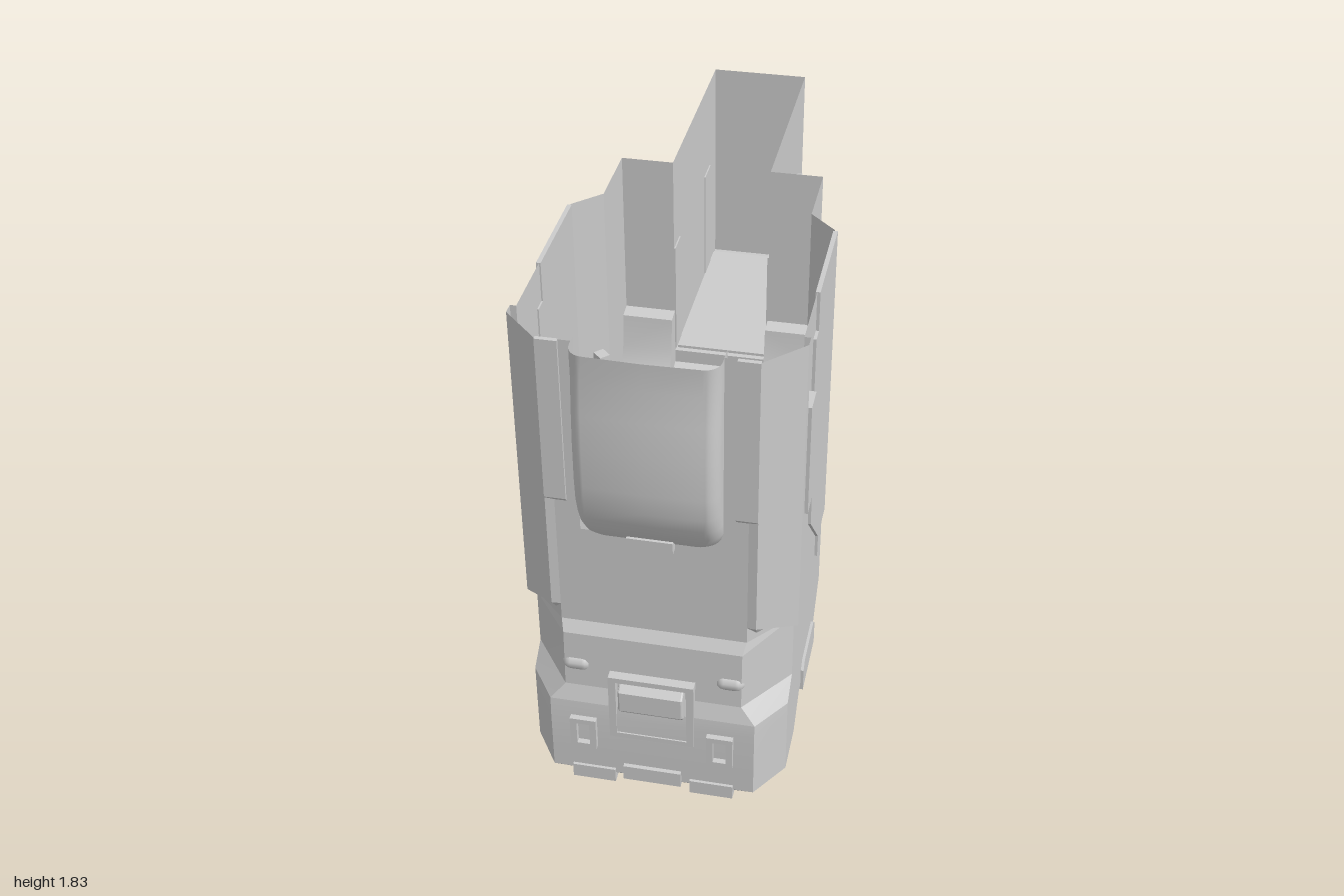
import * as THREE from 'three';
import { toCreasedNormals } from 'three/addons/utils/BufferGeometryUtils.js';

export function createModel() {
  const model = new THREE.Group();
  const mat = new THREE.MeshStandardMaterial({ color: 0xcccccc, side: THREE.DoubleSide });
  const add = (name, geo) => {
    const m = new THREE.Mesh(geo, mat);
    m.name = name;
    model.add(m);
    return m;
  };
  // Skin between successive rows of [x, y, z] points; edges over the crease angle stay sharp.
  const loft = (rows, closed = false, crease = 0.3) => {
    const n = rows[0].length, idx = [];
    for (let r = 0; r < rows.length - 1; r++)
      for (let i = 0; i < (closed ? n : n - 1); i++) {
        const a = r * n + i, b = r * n + (i + 1) % n;
        idx.push(a, b, a + n, b, b + n, a + n);
      }
    const g = new THREE.BufferGeometry();
    g.setAttribute('position', new THREE.Float32BufferAttribute(rows.flat(2), 3));
    g.setIndex(idx);
    return toCreasedNormals(g, crease);
  };
  const shapeOf = pts => new THREE.Shape(pts.map(p => new THREE.Vector2(...p)));
  const rectPts = (x0, y0, x1, y1) => [[x0, y0], [x1, y0], [x1, y1], [x0, y1]];
  // Plate with a [z, y] outline spanning x0..x1.
  const sidePlate = (name, pts, x0, x1, bevel = 0) => {
    const g = new THREE.ExtrudeGeometry(shapeOf(pts.map(([z, y]) => [-z, y])), {
      depth: x1 - x0 - 2 * bevel, bevelEnabled: bevel > 0, bevelSize: bevel,
      bevelThickness: bevel, bevelOffset: -bevel, bevelSegments: 2 });
    return add(name, g.rotateY(Math.PI / 2).translate(x0 + bevel, 0, 0));
  };
  const box = (name, x0, x1, y0, y1, z0, z1) => add(name, new THREE.BoxGeometry(x1 - x0, y1 - y0, z1 - z0)
    .translate((x0 + x1) / 2, (y0 + y1) / 2, (z0 + z1) / 2));
  const boxes = (name, x0, x1, ...r) => {
    box(name + 'Left', x0, x1, ...r);
    box(name + 'Right', -x1, -x0, ...r);
  };
  const plates = (name, pts, x0, x1, bevel) => {
    sidePlate(name + 'Left', pts, x0, x1, bevel);
    sidePlate(name + 'Right', pts, -x1, -x0, bevel);
  };
  // Closed symmetric ring at height y from half outline [x, z], listed back to front.
  const ring = (y, half) => [...half.map(([x, z]) => [x, y, z]), ...half.map(([x, z]) => [-x, y, z]).reverse()];
  const shrink = r => {
    const z = r.reduce((s, p) => s + p[2], 0) / r.length;
    return r.map(p => [0, p[1], z]);
  };

  // Lower body: height, back z, side z, front corner x, front z
  const levels = [
    [0.2, 0.17, 0.83, 0.35, 0.965], [0.36, 0.02, 0.83, 0.35, 0.965], [0.41, 0.02, 0.83, 0.35, 0.96],
    [0.47, 0.02, 0.75, 0.3, 0.94], [0.69, 0.02, 0.75, 0.3, 0.93], [0.73, 0.02, 0.75, 0.31, 0.905],
    [0.88, 0.02, 0.75, 0.31, 0.905]];
  const base = [[0.22, 0.2], [0.28, 0.26], [0.28, 0.6], [0.28, 0.66]];
  add('lowerBody', loft([ring(0.08, base), ring(0.2, base), ...levels.map(([y, zb, zs, fx, fz]) =>
    ring(y, [[0.35, zb], [0.44, zb + 0.09], [0.44, zs], [fx, fz]]))], true, 0.1));

  // Front foot block below the body
  const foot = [ring(0.2, [[0.44, 0.55], [0.44, 0.83], [0.35, 0.965]]),
    ring(0.1, [[0.44, 0.65], [0.44, 0.83], [0.35, 0.965]]),
    ring(0.06, [[0.28, 0.67], [0.28, 0.85], [0.28, 0.93]])];
  add('frontFoot', loft([...foot, shrink(foot[2])], true, 0.1));

  // Floor with round opening, flange and bottom dome
  const floor = shapeOf(rectPts(-0.28, 0.2, 0.28, 0.7));
  floor.holes.push(new THREE.Path().absarc(0, 0.47, 0.15, 0, Math.PI * 2, true));
  add('floor', new THREE.ShapeGeometry(floor, 24).rotateX(Math.PI / 2).translate(0, 0.08, 0));
  const dome = [[0.001, 0], [0.05, 0.004], [0.1, 0.016], [0.13, 0.03], [0.14, 0.022], [0.165, 0.022],
    [0.17, 0.04], [0.2, 0.04], [0.205, 0.05], [0.205, 0.09], [0.16, 0.1]];
  add('bottomDome', toCreasedNormals(new THREE.LatheGeometry(dome.map(p => new THREE.Vector2(...p)), 48), 0.5)
    .translate(0, 0, 0.47));
  for (let i = 0; i < 6; i++) {
    const a = i * Math.PI / 3 + 0.5;
    box('flangeLug', -0.03, 0.03, 0.03, 0.05, 0.165, 0.19).position.z = 0.47;
    model.children.at(-1).rotation.y = a;
  }
  boxes('floorRib', 0.2, 0.26, 0.055, 0.09, 0.3, 0.64);
  boxes('floorSkid', 0.3, 0.42, 0.12, 0.2, 0.28, 0.52);
  box('floorBridge', -0.12, 0.12, 0.06, 0.12, 0.16, 0.27);

  // Upper body walls, open at the top
  for (const s of [1, -1]) {
    const side = s > 0 ? 'Left' : 'Right';
    const rise = (pts, lo, hi) => loft([pts.map(([x, z]) => [s * x, typeof lo === 'function' ? lo(z) : lo, z]),
      pts.map(([x, z]) => [s * x, hi, z])], false, 0.1);
    add('sideWall' + side, rise([[0.35, 0.02], [0.44, 0.11], [0.44, 0.75]], 0.88, 1.83));
    // Corner rail with a slanted lower end
    const rail = [[0.44, 0.75], [0.46, 0.75], [0.46, 0.79], [0.41, 0.84], [0.34, 0.91], [0.31, 0.905]];
    const slant = z => 0.73 + Math.max(0, z - 0.79) * 0.55;
    add('cornerRail' + side, rise(rail, slant, 1.83));
    add('railEnd' + side, loft([rail.map(([x, z]) => [s * x, slant(z), z]),
      rail.map((p, i) => [s * (0.44 - i * 0.026), 0.75, 0.75 + i * 0.031])], false, 0.1));
    // Rear cheek with curved underside
    const under = [[0.02, 0.88], [-0.03, 0.9], [-0.09, 0.95], [-0.14, 1.01], [-0.175, 1.1],
      [-0.19, 1.22], [-0.24, 1.23]];
    add('cheekSide' + side, new THREE.ShapeGeometry(shapeOf([[0.02, 1.83], ...under, [-0.24, 1.83]]
      .map(([z, y]) => [-z, y]))).rotateY(Math.PI / 2).translate(s * 0.35, 0, 0));
    add('cheekUnderside' + side, loft([0.17, 0.35].map(x =>
      [...under, [-0.24, 1.83]].map(([z, y]) => [s * x, y, z])), false, 0.5));
    // Arm side wall
    add('armSide' + side, new THREE.ShapeGeometry(shapeOf([...under, [-0.24, 1.83], [-1, 1.83], [-1, 1.05],
      [-0.96, 1.01], [-0.24, 1.01], [-0.19, 1], [-0.04, 0.85], [0.02, 0.82]]
      .map(([z, y]) => [-z, y]))).rotateY(Math.PI / 2).translate(s * 0.17, 0, 0));
    // Bent wire guard under each side
    const wire = new THREE.CurvePath();
    const pts = [[0.1, 0.22, 0.04], [0.26, 0.22, 0.04], [0.33, 0.2, 0.04], [0.36, 0.12, 0.04],
      [0.37, 0.085, 0.09], [0.37, 0.08, 0.2], [0.37, 0.08, 0.45], [0.37, 0.085, 0.62], [0.37, 0.13, 0.68]]
      .map(([x, y, z]) => new THREE.Vector3(s * x, y, z));
    for (let i = 0; i < pts.length - 1; i++) wire.add(new THREE.LineCurve3(pts[i], pts[i + 1]));
    add('wireGuard' + side, new THREE.TubeGeometry(new THREE.CatmullRomCurve3(pts), 50, 0.02, 10));
    add('wireSocket' + side, new THREE.CylinderGeometry(0.04, 0.04, 0.04, 16).rotateZ(Math.PI / 2)
      .translate(s * 0.14, 0.22, 0.04));
    // Clip on the rear chamfer
    const clip = box('chamferClip' + side, -0.05, 0.05, 1, 1.22, -0.02, 0.02);
    clip.position.set(s * 0.385, 0, 0.05);
    clip.rotation.y = s * Math.PI / 4;
    // Round slot bar and loop on the front
    add('frontSlot' + side, new THREE.CapsuleGeometry(0.03, 0.04, 4, 10).rotateZ(Math.PI / 2)
      .translate(s * 0.26, 0.56, 0.918));
    const loop = shapeOf(rectPts(-0.045, 0.22, 0.045, 0.35));
    loop.holes.push(new THREE.Path(rectPts(-0.022, 0.24, 0.022, 0.33).map(p => new THREE.Vector2(...p)).reverse()));
    add('frontLoop' + side, new THREE.ExtrudeGeometry(loop, { depth: 0.025, bevelEnabled: false })
      .translate(s * 0.235, 0, 0.96));
  }

  // Arm underside with recesses, end wall and front slope
  const plate = shapeOf(rectPts(-0.17, -0.96, 0.17, -0.24));
  for (const r of [[-0.12, -0.92, 0.12, -0.66], [-0.07, -0.56, 0.07, -0.4]])
    plate.holes.push(new THREE.Path(rectPts(...r).map(p => new THREE.Vector2(...p)).reverse()));
  add('armUnderside', new THREE.ExtrudeGeometry(plate, { depth: 0.05, bevelEnabled: false })
    .rotateX(Math.PI / 2).translate(0, 1.06, 0));
  box('recessCeiling', -0.165, 0.165, 1.06, 1.07, -0.95, -0.26);
  const across = pts => loft([-0.17, 0.17].map(x => pts.map(([z, y]) => [x, y, z])), false, 0.1);
  add('armEnd', across([[-1, 1.83], [-1, 1.05], [-0.96, 1.01]]));
  add('armSlope', across([[-0.24, 1.01], [-0.19, 1], [-0.04, 0.85], [0.02, 0.82]]));
  box('recessBar', -0.12, 0.12, 1.02, 1.06, -0.75, -0.71);
  plates('armCatch', [[-0.33, 1.02], [-0.33, 0.94], [-0.36, 0.91], [-0.53, 0.91], [-0.57, 0.94], [-0.57, 1.02]],
    0.045, 0.085);
  box('armCatchBar', -0.05, 0.05, 0.92, 0.95, -0.52, -0.45);
  boxes('armLug', 0.1, 0.175, 0.98, 1.04, -0.38, -0.28);

  // Front panel with the notch for the bulged window
  add('frontPanel', new THREE.ShapeGeometry(shapeOf([[-0.31, 0.88], [0.31, 0.88], [0.31, 1.83], [0.23, 1.83],
    [0.23, 1.12], [-0.23, 1.12], [-0.23, 1.83], [-0.31, 1.83]])).translate(0, 0, 0.905));
  plates('panelEdge', [[0.9, 1.22], [0.915, 1.24], [0.915, 1.83], [0.9, 1.83]], 0.27, 0.34);
  const bulge = [[1.1, 0.9], [1.13, 0.925], [1.17, 0.95], [1.22, 0.975], [1.28, 0.993], [1.36, 1], [1.5, 1],
    [1.62, 0.993], [1.73, 0.982], [1.83, 0.985]].map(([y, f], i) => {
    const w = i === 0 ? 0.19 : i === 1 ? 0.22 : 0.23, row = [];
    for (let k = 0; k <= 8; k++) {
      const a = k / 8 * Math.PI / 2;
      row.push([w - 0.05 * (1 - Math.cos(a)), y, Math.max(0.87, f - 0.06) + Math.min(0.055, f - 0.87) * Math.sin(a)]);
    }
    const half = [[w, y, 0.86], ...row];
    return [...half, [0, y, f], ...half.map(([x, yy, z]) => [-x, yy, z]).reverse()];
  });
  add('bulgedWindow', loft([bulge[0].map(p => [p[0], p[1], 0.86]), ...bulge], false, 0.7));
  box('windowTab', -0.075, 0.075, 1.085, 1.13, 0.88, 0.935);

  // Front latch and lower tab
  const frame = shapeOf(rectPts(-0.145, 0.28, 0.145, 0.55));
  frame.holes.push(new THREE.Path(rectPts(-0.12, 0.3, 0.12, 0.53).map(p => new THREE.Vector2(...p)).reverse()));
  add('latchFrame', new THREE.ExtrudeGeometry(frame, { depth: 0.04, bevelEnabled: false }).translate(0, 0, 0.93));
  sidePlate('latch', [[0.92, 0.53], [0.96, 0.52], [0.985, 0.5], [0.985, 0.42], [0.95, 0.38], [0.92, 0.38]],
    -0.11, 0.11, 0.006);
  box('frontTab', -0.1, 0.1, 0.09, 0.15, 0.94, 0.98);
  boxes('frontStep', 0.13, 0.28, 0.065, 0.12, 0.9, 0.975);

  // Raised side panels, clips and tabs
  plates('sidePanel', [[0.495, 1.83], [0.495, 1.69], [0.545, 1.69], [0.545, 1.06], [0.495, 1.05], [0.495, 0.92],
    [0.275, 0.69], [0.275, 0.6], [0.235, 0.6], [0.235, 0.69], [0.115, 0.69], [0.115, 1.83]], 0.435, 0.45);
  boxes('sideClip', 0.43, 0.47, 1.16, 1.57, 0.65, 0.74);
  boxes('armClipFront', 0.165, 0.19, 1.07, 1.49, -0.33, -0.24);
  boxes('armClipRear', 0.165, 0.19, 1.07, 1.49, -0.88, -0.78);
  plates('footTab', [[0.52, 0.18], [0.52, 0.27], [0.49, 0.3], [0.29, 0.3], [0.26, 0.27], [0.26, 0.18]], 0.43, 0.45);
  boxes('rearLug', 0.32, 0.37, 0.53, 0.59, 0.01, 0.06);

  // Rear spine below the arm
  sidePlate('rearSpine', [[0.05, 0.88], [-0.02, 0.88], [-0.07, 0.84], [-0.07, 0.25], [-0.04, 0.21],
    [0.05, 0.21]], -0.13, 0.13, 0.015);
  sidePlate('spineFoot', [[0.16, 0.22], [-0.03, 0.22], [-0.04, 0.14], [-0.01, 0.11], [0.03, 0.11], [0.16, 0.2]],
    -0.08, 0.08);
  boxes('spineClip', 0.12, 0.16, 0.68, 0.8, -0.03, 0.03);
  return model;
}
